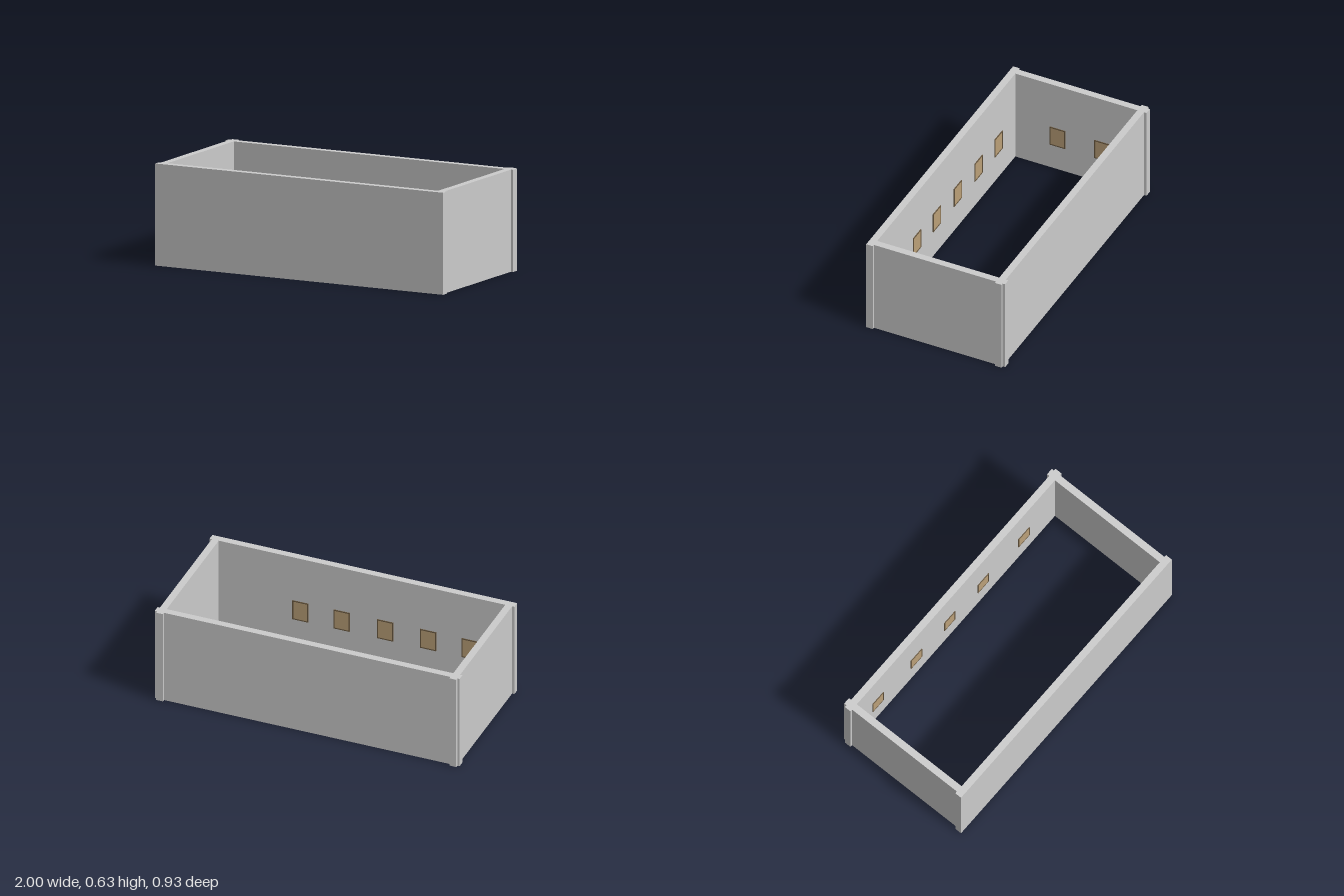
import * as THREE from 'three';

const HEIGHT = 0.63;
const wallMat = new THREE.MeshStandardMaterial({ color: 0xcccccc });
const frameMat = new THREE.MeshStandardMaterial({ color: 0x6b5a42 });
const canvasMat = new THREE.MeshStandardMaterial({ color: 0xbba078 });

// Upright wall covering a rectangle of the plan
function wall(name, x0, x1, z0, z1) {
  const mesh = new THREE.Mesh(new THREE.BoxGeometry(x1 - x0, HEIGHT, z1 - z0), wallMat);
  mesh.name = name;
  mesh.position.set((x0 + x1) / 2, HEIGHT / 2, (z0 + z1) / 2);
  return mesh;
}

// Framed picture, built facing +z with its back at z = 0
function picture(w = 0.105, h = 0.135, border = 0.007) {
  const group = new THREE.Group();
  group.name = 'picture';
  const outline = new THREE.Shape([
    new THREE.Vector2(-w / 2, -h / 2), new THREE.Vector2(w / 2, -h / 2),
    new THREE.Vector2(w / 2, h / 2), new THREE.Vector2(-w / 2, h / 2),
  ]);
  const a = w / 2 - border, b = h / 2 - border;
  outline.holes.push(new THREE.Path([
    new THREE.Vector2(-a, -b), new THREE.Vector2(-a, b),
    new THREE.Vector2(a, b), new THREE.Vector2(a, -b),
  ]));
  const frame = new THREE.Mesh(
    new THREE.ExtrudeGeometry(outline, { depth: 0.005, bevelEnabled: false }), frameMat);
  frame.name = 'pictureFrame';
  const canvas = new THREE.Mesh(new THREE.BoxGeometry(2 * a, 2 * b, 0.003), canvasMat);
  canvas.name = 'pictureCanvas';
  canvas.position.z = 0.0015;
  group.add(frame, canvas);
  return group;
}

export function createModel() {
  const model = new THREE.Group();
  model.name = 'galleryRoom';

  // Four walls, open above and below; the side walls jut out behind the back wall
  model.add(
    wall('frontWall', -1, 1, 0.422, 0.467),
    wall('backWall', -1, 1, -0.45, -0.405),
    wall('rightWall', -0.985, -0.94, -0.467, 0.422),
    wall('leftWall', 0.94, 0.985, -0.467, 0.422),
  );

  // Pictures hung on the inner faces
  const hang = (x, z, turn) => {
    const p = picture();
    p.position.set(x, 0.253, z);
    p.rotation.y = turn;
    model.add(p);
  };
  for (const x of [-0.74, -0.377, -0.06, 0.258, 0.643]) hang(x, -0.405, 0);
  for (const x of [-0.707, -0.435, -0.153, 0.132, 0.403]) hang(x, 0.422, Math.PI);
  for (const z of [-0.175, 0.128]) hang(-0.925, z, Math.PI / 2);

  return model;
}
